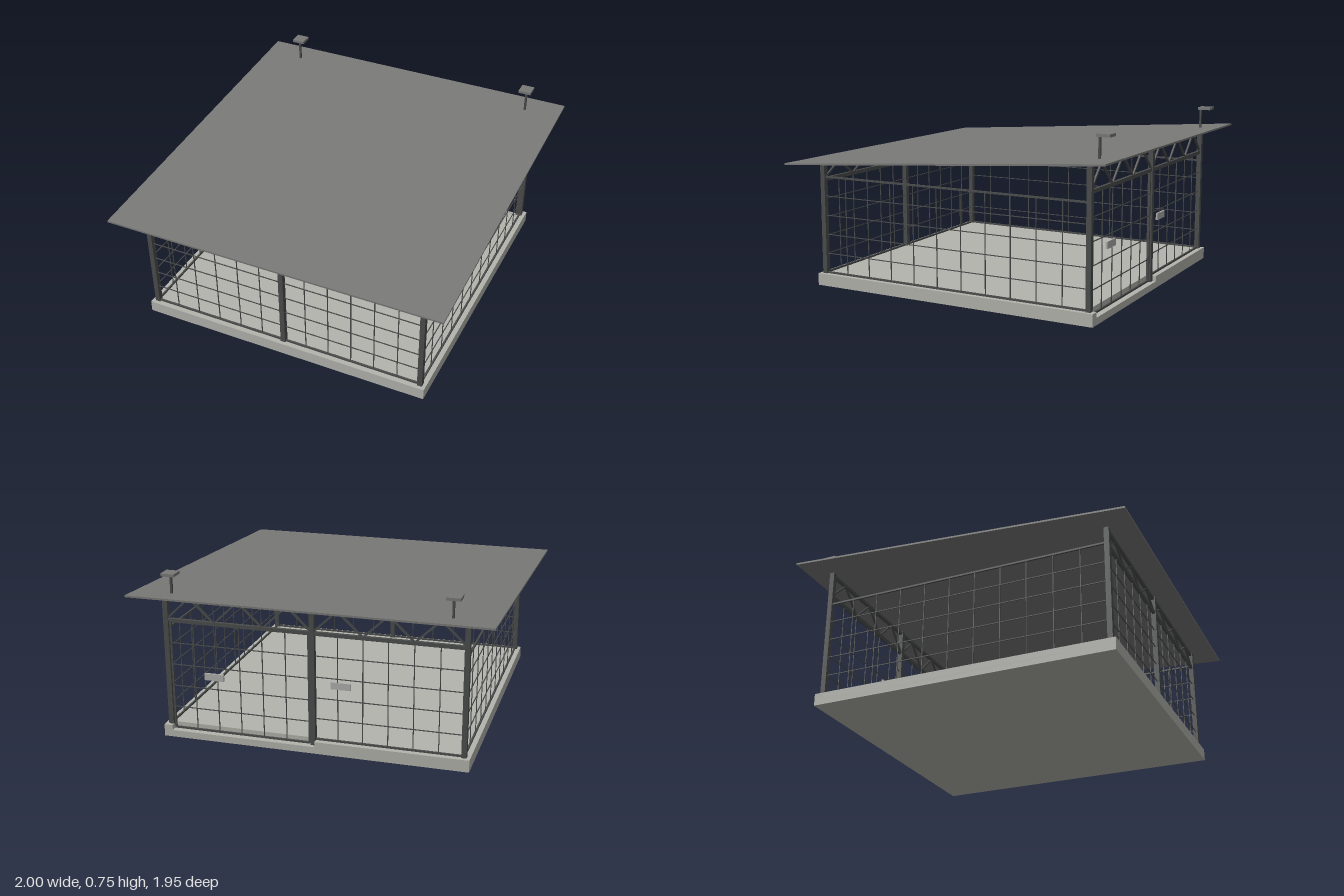
import * as THREE from 'three';
import { mergeGeometries } from 'three/addons/utils/BufferGeometryUtils.js';

// Plan axes: the building is turned on its site and very slightly skewed
const PLAN = new THREE.Matrix4().set(
  0.934, 0, -0.38, 0,
  0, 1, 0, 0,
  0.358, 0, 0.925, 0,
  0, 0, 0, 1);
const PX = 0.638, PZ = 0.645, FLOOR = 0.053, SILL = 0.03, SLOPE = 0.0693;
const roofY = (z) => 0.6 - SLOPE * z;

export function createModel() {
  const model = new THREE.Group();
  model.name = 'shelter';
  const mat = (name, color) => {
    const m = new THREE.MeshStandardMaterial({ color });
    m.name = name;
    return m;
  };
  const concrete = mat('concrete', 0xb4b4ae);
  const sheet = mat('roof sheet', 0x797978);
  const steel = mat('dark steel', 0x4c4d4d);
  const plate = mat('plate grey', 0xb0b0af);

  const add = (name, geos, material) => {
    const g = mergeGeometries([geos].flat());
    g.applyMatrix4(PLAN);
    const mesh = new THREE.Mesh(g, material);
    mesh.name = name;
    model.add(mesh);
  };
  const box = (w, h, d, x, y, z) => new THREE.BoxGeometry(w, h, d).translate(x, y, z);
  // Box given by its limits along each axis
  const span = (x0, x1, y0, y1, z0, z1) =>
    box(x1 - x0, y1 - y0, z1 - z0, (x0 + x1) / 2, (y0 + y1) / 2, (z0 + z1) / 2);
  // Square bar between two points
  const bar = (a, b, t) => {
    const p = new THREE.Vector3(...a), q = new THREE.Vector3(...b);
    const dir = q.clone().sub(p);
    const g = new THREE.BoxGeometry(t, t, dir.length());
    const m = new THREE.Matrix4().lookAt(q, p, new THREE.Vector3(0, 1, 0.001));
    return g.applyMatrix4(m.setPosition(p.add(q).multiplyScalar(0.5)));
  };
  // Grid of thin rods in a heavier frame, at(t, y) gives a point on the panel
  const grid = (at, y0, y1, cols, rows) => {
    const out = [];
    for (let i = 0; i <= cols; i++) {
      const edge = i === 0 || i === cols;
      out.push(bar(at(i / cols, y0), at(i / cols, y1), edge ? 0.008 : 0.0035));
    }
    for (let j = 0; j <= rows; j++) {
      const y = y0 + (y1 - y0) * j / rows;
      out.push(bar(at(0, y), at(1, y), j === 0 || j === rows ? 0.008 : 0.0035));
    }
    return out;
  };

  // Floor slab, with a lowered sill under the gate
  add('floorSlab', [
    span(-0.664, 0.664, 0, SILL, -0.672, 0.672),
    span(-0.664, 0.664, SILL, FLOOR, -0.63, 0.672),
    span(-0.664, -0.012, SILL, FLOOR, -0.672, -0.63),
    span(0.626, 0.664, SILL, FLOOR, -0.672, -0.63),
  ], concrete);

  // Single-pitch roof
  const roof = box(1.522, 0.008, 1.522, 0, 0, 0);
  roof.applyMatrix4(new THREE.Matrix4().set(
    1, 0, 0, 0,
    0, 1, -SLOPE, roofY(0),
    0, 0, 1, 0,
    0, 0, 0, 1));
  add('roof', roof, sheet);

  // Posts: corners and middles of the front and back
  for (const z of [-PZ, PZ]) {
    for (const x of [-PX, 0, PX]) {
      const foot = x === 0 && z < 0 ? SILL : FLOOR;
      add('post', span(x - 0.011, x + 0.011, foot, roofY(z) - 0.005, z - 0.011, z + 0.011), steel);
    }
  }

  // Trusses above the front and back bays
  for (const [name, z, low, high] of [['frontTruss', PZ, 0.475, 0.542], ['backTruss', -PZ, 0.527, 0.629]]) {
    const parts = [low, high].map((y) => box(PX * 2, 0.012, 0.014, 0, y, z));
    const n = 12;
    for (let i = 0; i < n; i++) {
      const x0 = -PX + 2 * PX * i / n, x1 = x0 + 2 * PX / n;
      parts.push(bar([x0, i % 2 ? high : low, z], [x1, i % 2 ? low : high, z], 0.008));
    }
    add(name, parts, steel);
  }

  // Side wall mesh
  for (const s of [-1, 1]) {
    add(s < 0 ? 'rightMesh' : 'leftMesh',
      grid((t, y) => [s * PX, y, PZ - 2 * PZ * t], FLOOR + 0.004, 0.485, 11, 5), steel);
  }

  // Front bays and the fixed back bay
  for (const s of [-1, 1]) {
    add('frontMesh', grid((t, y) => [s * PX * t, y, PZ], FLOOR + 0.004, 0.468, 6, 5), steel);
  }
  add('backMesh', grid((t, y) => [-PX * t, y, -PZ], FLOOR + 0.004, 0.52, 6, 5), steel);

  // Gate in the other back bay, reaching down to the sill
  add('gate', grid((t, y) => [0.016 + 0.605 * t, y, -PZ], SILL + 0.006, 0.52, 6, 5), steel);
  add('gatePlate', box(0.085, 0.03, 0.009, 0.434, 0.285, -PZ), plate);
  add('backPlate', box(0.085, 0.03, 0.009, -0.12, 0.305, -PZ), plate);

  // Roof lamps: stem near the front edge of a flat head
  for (const x of [-0.589, 0.589]) {
    const z = -0.687, y = roofY(z);
    add('lampStem', span(x + 0.004, x + 0.013, y, 0.74, z + 0.018, z + 0.027), steel);
    add('lampHead', box(0.058, 0.012, 0.058, x, 0.742, z), sheet);
  }
  return model;
}
